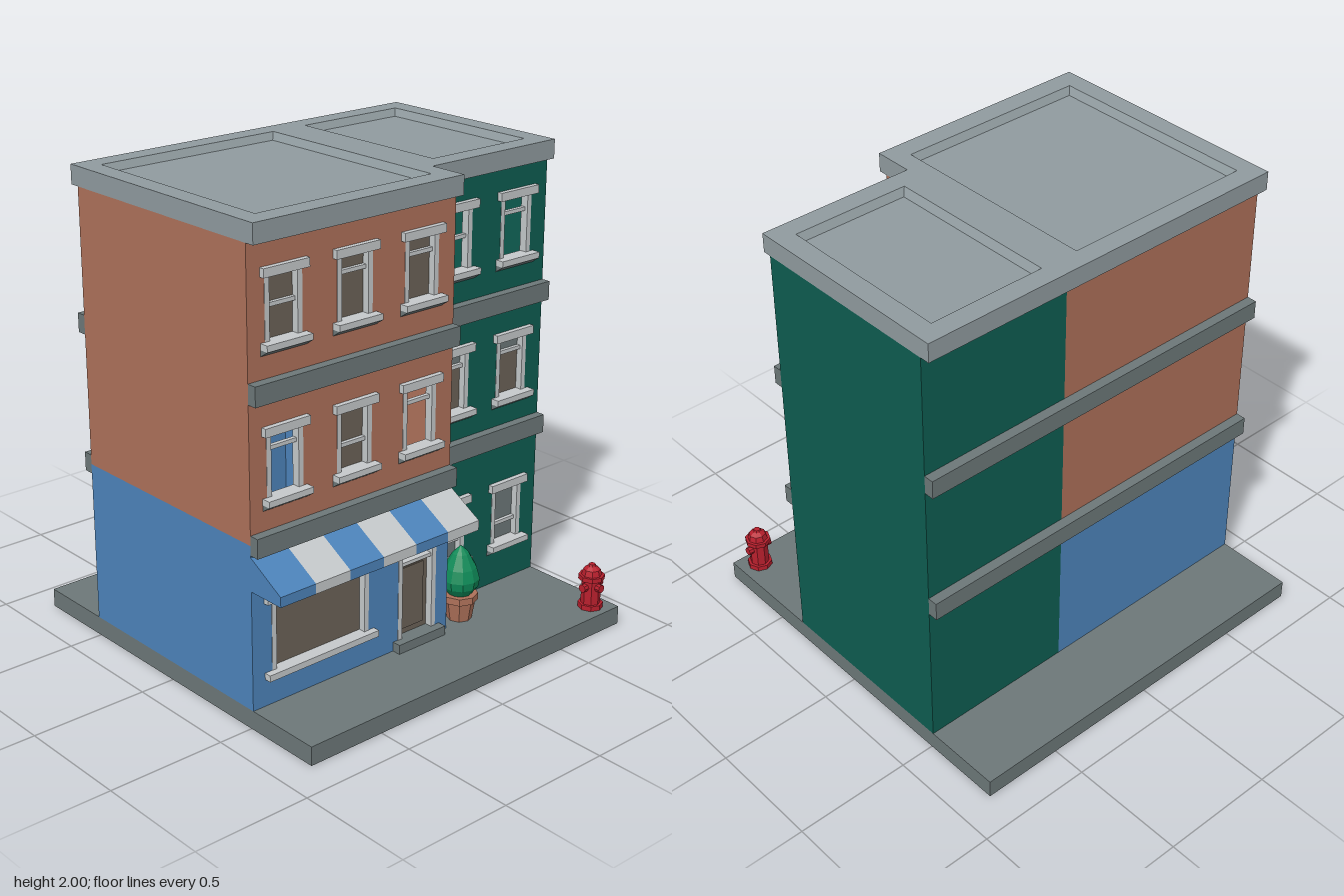
import * as THREE from 'three';

const mat = (name, color, side = THREE.FrontSide) => {
  const m = new THREE.MeshStandardMaterial({ color, side });
  m.name = name;
  return m;
};

export function createModel() {
  const D = THREE.DoubleSide;
  const brick = mat('brick', 0xad7059, D), green = mat('greenPaint', 0x0e5c50, D);
  const blue = mat('bluePaint', 0x4c83ba, D), stone = mat('darkStone', 0x6c7778);
  const roofGrey = mat('roofGrey', 0x8f9a9e), white = mat('trim', 0xc4c8ca);
  const taupe = mat('shade', 0x6b6257), red = mat('hydrantRed', 0xb81f2d);
  const leaf = mat('leaf', 0x0e8a58);
  // faceted copies are avoided by un-indexing geometry instead
  const flat = (g) => { const n = g.index ? g.toNonIndexed() : g; n.computeVertexNormals(); return n; };

  const model = new THREE.Group();
  model.name = 'cornerBuildings';
  const add = (parent, name, geo, material, x = 0, y = 0, z = 0) => {
    const m = new THREE.Mesh(geo, material);
    m.name = name;
    m.position.set(x, y, z);
    parent.add(m);
    return m;
  };
  // box given by its limits on each axis
  const box = (parent, name, material, x0, x1, y0, y1, z0, z1) =>
    add(parent, name, new THREE.BoxGeometry(x1 - x0, y1 - y0, z1 - z0), material,
      (x0 + x1) / 2, (y0 + y1) / 2, (z0 + z1) / 2);
  const rect = (T, x0, x1, y0, y1) => new T().moveTo(x0, y0).lineTo(x1, y0).lineTo(x1, y1).lineTo(x0, y1).closePath();
  // side profile in (z, y), extruded along x from x0 to x1
  const profile = (parent, name, material, pts, x0, x1, z) => {
    const s = new THREE.Shape(pts.map(([a, b]) => new THREE.Vector2(-a, b)));
    const g = new THREE.ExtrudeGeometry(s, { depth: x1 - x0, bevelEnabled: false });
    g.rotateY(Math.PI / 2);
    return add(parent, name, g, material, x0, 0, z);
  };

  // paved base
  box(model, 'pavement', stone, -0.85, 0.85, 0, 0.08, -0.85, 0.85);

  const X = 0.167, BACK = -0.51, ZL = 0.512, ZR = 0.345;

  // hollow storey: pierced front, plain back and side walls
  const storey = (name, material, x0, x1, y0, y1, front, holes, sides) => {
    const g = new THREE.Group();
    g.name = name;
    model.add(g);
    const s = rect(THREE.Shape, x0, x1, y0, y1);
    s.holes = holes.map((h) => rect(THREE.Path, ...h));
    add(g, 'frontWall', new THREE.ShapeGeometry(s), material, 0, 0, front);
    const back = add(g, 'backWall', new THREE.PlaneGeometry(x1 - x0, y1 - y0), material, (x0 + x1) / 2, (y0 + y1) / 2, BACK);
    back.rotation.y = Math.PI;
    for (const x of sides) {
      const w = add(g, 'sideWall', new THREE.PlaneGeometry(front - BACK, y1 - y0), material, x, (y0 + y1) / 2, (front + BACK) / 2);
      w.rotation.y = x === x0 ? -Math.PI / 2 : Math.PI / 2;
    }
  };

  // windows: centre x, lintel top, wall z, rail height below the top, upper and lower shades
  const wins = (cx, top, z, rail, up, low) => ({ cx, top, z, rail, up, low });
  const brickWins = [
    wins(-0.683, 1.82, ZL, 0.15, taupe, taupe), wins(-0.343, 1.82, ZL, 0.1, taupe, taupe),
    wins(-0.006, 1.82, ZL, 0.1, taupe, taupe), wins(-0.683, 1.22, ZL, 0.095, null, null),
    wins(-0.343, 1.22, ZL, 0.18, taupe, taupe), wins(-0.006, 1.22, ZL, 0.095, null, null)];
  const greenWins = [
    wins(0.34, 1.82, ZR, 0.15, null, null), wins(0.677, 1.82, ZR, 0.1, null, null),
    wins(0.34, 1.22, ZR, 0.095, stone, taupe), wins(0.677, 1.22, ZR, 0.095, stone, taupe),
    wins(0.34, 0.55, ZR, 0.2, stone, stone), wins(0.677, 0.55, ZR, 0.2, stone, stone)];
  const HW = 0.087;
  const hole = (w) => [w.cx - HW, w.cx + HW, w.top - 0.295, w.top - 0.03];

  storey('shopFloor', blue, -0.85, X, 0.08, 0.77, ZL,
    [[-0.755, -0.265, 0.21, 0.53], [-0.105, 0.1, 0.085, 0.53]], [-0.85, X]);
  storey('brickFloors', brick, -0.85, X, 0.77, 1.92, ZL, brickWins.map(hole), [-0.85, X]);
  storey('greenHouse', green, X, 0.85, 0.08, 1.92, ZR, greenWins.map(hole), [0.85]);

  for (const w of [...brickWins, ...greenWins]) {
    const g = new THREE.Group();
    g.name = 'window';
    g.position.set(w.cx, w.top, w.z);
    model.add(g);
    box(g, 'lintel', white, -0.107, 0.107, -0.035, 0, -0.03, 0.022);
    for (const s of [-1, 1])
      add(g, 'jamb', new THREE.BoxGeometry(0.022, 0.26, 0.035), white, s * (HW - 0.011), -0.16, -0.016);
    box(g, 'sillTop', white, -0.107, 0.107, -0.305, -0.28, -0.03, 0.038);
    profile(g, 'sillBracket', stone, [[0, -0.33], [0.038, -0.305], [0, -0.305]], -0.107, 0.107, 0);
    box(g, 'sashRail', white, -0.066, 0.066, -w.rail - 0.008, -w.rail + 0.008, -0.03, -0.012);
    if (w.up) box(g, 'upperShade', w.up, -0.066, 0.066, -w.rail, -0.035, -0.034, -0.028);
    if (w.low) box(g, 'lowerShade', w.low, -0.066, 0.066, -0.28, -w.rail, -0.034, -0.028);
  }

  // shop window
  const shop = new THREE.Group();
  shop.name = 'shopWindow';
  model.add(shop);
  box(shop, 'lintel', white, -0.79, -0.235, 0.515, 0.55, ZL - 0.03, ZL + 0.022);
  box(shop, 'sill', white, -0.79, -0.235, 0.195, 0.222, ZL - 0.03, ZL + 0.03);
  box(shop, 'leftJamb', white, -0.287, -0.265, 0.222, 0.515, ZL - 0.033, ZL + 0.002);
  box(shop, 'rightJamb', white, -0.755, -0.733, 0.222, 0.515, ZL - 0.033, ZL + 0.002);
  box(shop, 'shade', taupe, -0.733, -0.287, 0.222, 0.515, ZL - 0.034, ZL - 0.028);

  // shop door
  const door = new THREE.Group();
  door.name = 'door';
  model.add(door);
  box(door, 'lintel', white, -0.13, 0.125, 0.515, 0.55, ZL - 0.03, ZL + 0.022);
  for (const x of [-0.105, 0.078]) box(door, 'jamb', white, x, x + 0.022, 0.12, 0.515, ZL - 0.033, ZL + 0.002);
  box(door, 'transom', white, -0.083, 0.078, 0.435, 0.45, ZL - 0.033, ZL - 0.005);
  box(door, 'doorLeaf', taupe, -0.083, 0.078, 0.12, 0.435, ZL - 0.045, ZL - 0.03);
  box(door, 'doorPanel', taupe, -0.06, 0.055, 0.145, 0.415, ZL - 0.03, ZL - 0.024);
  box(door, 'doorStep', stone, -0.13, 0.125, 0.08, 0.12, ZL - 0.05, 0.55);

  // striped awning
  const stripe = (X + 0.85) / 6;
  for (let i = 0; i < 6; i++)
    profile(model, 'awningStripe', i % 2 ? white : blue,
      [[0, 0.583], [0.17, 0.583], [0.17, 0.625], [0, 0.722]], -0.85 + i * stripe, -0.85 + (i + 1) * stripe, ZL);

  // string courses, front and back
  for (const y of [0.73, 1.322]) {
    box(model, 'leftCourse', stone, -0.85, X, y, y + 0.08, ZL, 0.553);
    box(model, 'rightCourse', stone, X, 0.85, y, y + 0.08, ZR, 0.385);
    box(model, 'backCourse', stone, -0.85, 0.85, y, y + 0.08, -0.553, BACK);
  }

  // flat roofs with a sunken, sloping-sided centre
  const roof = (name, x0, x1, z1, hx0, hx1, hz0, hz1) => {
    box(model, name + 'Deck', roofGrey, x0, x1, 1.92, 1.97, -0.553, z1);
    const s = rect(THREE.Shape, x0, x1, -z1, 0.553);
    s.holes.push(rect(THREE.Path, hx0, hx1, -hz1, -hz0));
    const g = new THREE.ExtrudeGeometry(s, { depth: 0.03, bevelEnabled: false });
    const p = g.attributes.position;
    for (let i = 0; i < p.count; i++) {
      const x = p.getX(i), y = p.getY(i);
      if (p.getZ(i) > 0.01 || x < x0 + 0.01 || x > x1 - 0.01) continue;
      p.setX(i, x + (x < (hx0 + hx1) / 2 ? 0.02 : -0.02));
      p.setY(i, y + (y < -(hz0 + hz1) / 2 ? 0.02 : -0.02));
    }
    g.computeVertexNormals();
    g.rotateX(-Math.PI / 2);
    add(model, name + 'Rim', g, roofGrey, 0, 1.97, 0);
  };
  roof('leftRoof', -0.85, X, 0.553, -0.767, 0.082, -0.467, 0.463);
  roof('rightRoof', X, 0.85, 0.382, 0.253, 0.763, -0.467, 0.295);

  // turned, faceted shape from (radius, height) points
  const turned = (parent, name, material, pts, sides) =>
    add(parent, name, flat(new THREE.LatheGeometry(pts.map(([r, y]) => new THREE.Vector2(r, y)), sides)), material);

  // potted bush
  const plant = new THREE.Group();
  plant.name = 'pottedBush';
  plant.position.set(0.28, 0.08, 0.475);
  model.add(plant);
  turned(plant, 'pot', brick, [[0, 0], [0.052, 0], [0.066, 0.085], [0.076, 0.085], [0.076, 0.115], [0.06, 0.115], [0, 0.105]], 8);
  turned(plant, 'bush', leaf, [[0, 0.11], [0.05, 0.115], [0.076, 0.15], [0.082, 0.185], [0.068, 0.235], [0.035, 0.295], [0, 0.33]], 10);

  // fire hydrant
  const hydrant = new THREE.Group();
  hydrant.name = 'hydrant';
  hydrant.position.set(0.762, 0.08, 0.77);
  model.add(hydrant);
  turned(hydrant, 'hydrantBody', red, [[0, 0], [0.053, 0], [0.053, 0.022], [0.041, 0.022], [0.041, 0.13], [0.055, 0.13],
    [0.055, 0.15], [0.043, 0.15], [0.036, 0.175], [0.018, 0.188], [0.014, 0.198], [0, 0.198]], 8);
  for (let i = 0; i < 3; i++) {
    const n = add(hydrant, 'nozzle', flat(new THREE.CylinderGeometry(0.018, 0.018, 0.03, 8)), red,
      0.042 * Math.cos(i * Math.PI / 2), 0.1, 0.042 * Math.sin(i * Math.PI / 2));
    n.rotation.set(0, -i * Math.PI / 2, -Math.PI / 2);
  }
  return model;
}
